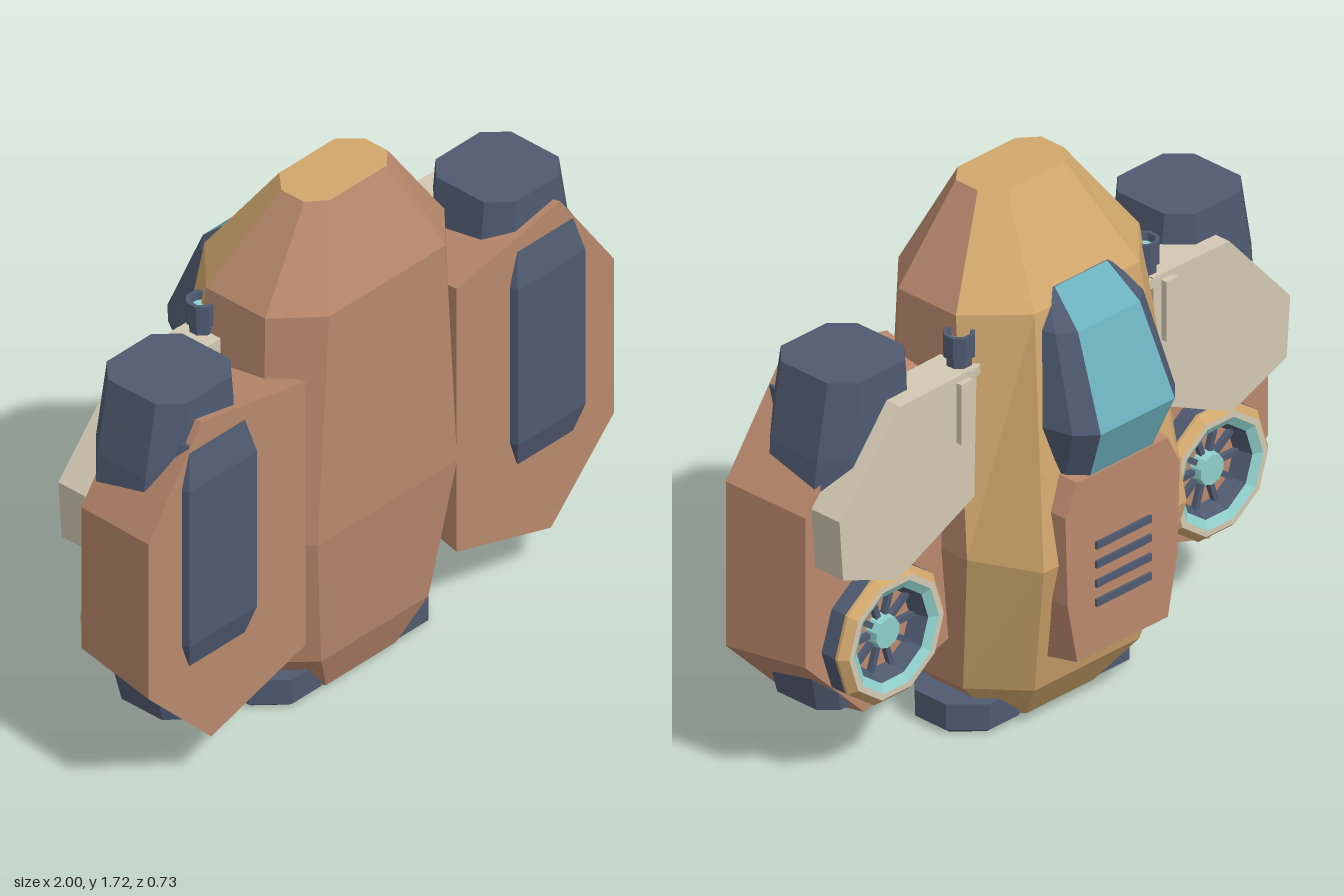
import * as THREE from 'three';

const mat = (name, color) => {
  const m = new THREE.MeshStandardMaterial({ color, flatShading: true });
  m.name = name;
  return m;
};

// Skin a closed solid over rings of equal point count; pick(side, row) gives a material index.
function loft(rings, pick = () => 0, capIndex = 0) {
  const n = rings[0].length;
  const tris = [];
  const add = (m, a, b, c) => tris.push({ m, p: [a, b, c] });
  for (let r = 0; r < rings.length - 1; r++) {
    for (let k = 0; k < n; k++) {
      const j = (k + 1) % n, A = rings[r], B = rings[r + 1], m = pick(k, r);
      add(m, A[k], A[j], B[j]);
      add(m, A[k], B[j], B[k]);
    }
  }
  const first = rings[0], last = rings[rings.length - 1];
  for (let k = 1; k < n - 1; k++) {
    add(capIndex, first[0], first[k + 1], first[k]);
    add(capIndex, last[0], last[k], last[k + 1]);
  }
  // Turn every face outward if the rings run the other way.
  const v = (a) => new THREE.Vector3(...a);
  const volume = tris.reduce((s, { p }) => s + v(p[0]).dot(v(p[1]).cross(v(p[2]))), 0);
  tris.sort((a, b) => a.m - b.m);
  const pos = [];
  const geo = new THREE.BufferGeometry();
  tris.forEach(({ m, p }, i) => {
    pos.push(...p[0], ...(volume < 0 ? [...p[2], ...p[1]] : [...p[1], ...p[2]]));
    const g = geo.groups[geo.groups.length - 1];
    if (g && g.materialIndex === m) g.count += 3;
    else geo.addGroup(i * 3, 3, m);
  });
  geo.setAttribute('position', new THREE.Float32BufferAttribute(pos, 3));
  geo.computeVertexNormals();
  return geo;
}

// Chamfered rectangle lying at height y.
const octagon = (cx, cz, hx, hz, y, cut) => [
  [hx, hz - cut], [hx, cut - hz], [hx - cut, -hz], [cut - hx, -hz],
  [-hx, cut - hz], [-hx, hz - cut], [cut - hx, hz], [hx - cut, hz],
].map(([x, z]) => [cx + x, y, cz + z]);

export function createModel() {
  const brown = mat('copper brown', 0xb9886c);
  const gold = mat('ochre', 0xd0a76c);
  const dark = mat('slate blue', 0x4f5a70);
  const glass = mat('teal glass', 0x6ab0bc);
  const aqua = mat('pale aqua', 0x8fcfca);
  const beige = mat('warm grey', 0xd2c8b2);

  const model = new THREE.Group();
  const put = (name, geo, material, parent = model) => {
    const mesh = new THREE.Mesh(geo, material);
    mesh.name = name;
    parent.add(mesh);
    return mesh;
  };
  const lathe = (points, sides) =>
    new THREE.LatheGeometry(points.map(([x, y]) => new THREE.Vector2(x, y)), sides, Math.PI / sides);

  // Hull: y, front half width, half width, back half width, then z from front to back
  const hullRings = [
    [0.01, 0.15, 0.21, 0.14, 0.26, 0.17, 0.03, -0.05],
    [0.16, 0.23, 0.355, 0.22, 0.315, 0.185, 0, -0.16],
    [0.63, 0.3, 0.4, 0.3, 0.365, 0.24, -0.06, -0.275],
    [1.42, 0.25, 0.385, 0.22, 0.365, 0.235, 0, -0.16],
    [1.715, 0.12, 0.18, 0.12, 0.25, 0.2, 0.11, 0.045],
  ].map(([y, a, w, b, zf, z1, z2, zb]) => {
    const half = [[a, y, zf], [w, y, z1], [w, y, z2], [b, y, zb]];
    return [...half, ...half.map(([x, h, z]) => [-x, h, z]).reverse()];
  });
  put('hull', loft(hullRings, (k) => (k >= 2 && k <= 4 ? 1 : 0), 1), [brown, gold]);

  // Canopy: y, then half width and z of the glass edge, the bevel and the base
  const canopyRings = [
    [0.9, 0.13, -0.3, 0.18, -0.25, 0.2, -0.19],
    [1.07, 0.155, -0.367, 0.215, -0.31, 0.25, -0.17],
    [1.36, 0.13, -0.25, 0.185, -0.21, 0.21, -0.13],
    [1.46, 0.11, -0.135, 0.13, -0.125, 0.14, -0.09],
  ].map(([y, a, za, b, zb, c, zc]) => {
    const half = [[c, y, zc], [b, y, zb], [a, y, za]];
    return [...half, ...half.map(([x, h, z]) => [-x, h, z]).reverse()];
  });
  put('canopy', loft(canopyRings, (k) => (k === 2 ? 1 : 0)), [dark, glass]);

  // Rear engine cover with vents
  const coverOutline = [[0.19, 0.9], [0.24, 0.8], [0.23, 0.5], [0.19, 0.3],
    [-0.19, 0.3], [-0.23, 0.5], [-0.24, 0.8], [-0.19, 0.9]];
  put('engineCover', loft([
    coverOutline.map(([x, y]) => [x * 1.04, y < 0.4 ? 0.27 : y + 0.01, -0.15]),
    coverOutline.map(([x, y]) => [x, y, -0.305]),
  ]), brown);
  for (let i = 0; i < 4; i++) {
    put('vent', new THREE.BoxGeometry(0.23, 0.024, 0.009), dark).position.set(0, 0.47 + i * 0.064, -0.309);
  }

  for (const s of [1, -1]) {
    const side = new THREE.Group();
    side.name = s > 0 ? 'leftSide' : 'rightSide';
    model.add(side);

    // Side shield, narrowing toward the back
    const outline = [[0.325, 0.28], [0.325, 1.215], [0.77, 1.3], [1, 0.98], [1, 0.43], [0.73, 0.16]];
    put('sideShield', loft([
      outline.map(([x, y]) => [s * x, y, 0.34]),
      outline.map(([x, y]) => [s * (0.66 + (x - 0.66) * 0.91), 0.73 + (y - 0.73) * 0.91, 0.045]),
    ]), brown, side);

    // Long pad on the front of the shield
    put('frontPad', loft([
      [0.44, 0.13, 0.335], [0.55, 0.16, 0.366], [1.1, 0.16, 0.366], [1.235, 0.13, 0.335],
    ].map(([y, w, z]) => [[w + 0.005, 0.28], [w - 0.015, z], [-w + 0.015, z], [-w - 0.005, 0.28]]
      .map(([x, zz]) => [s * (0.705 + x), y, zz]))), dark, side);

    // Tank: upper body and the tip showing below the shield
    put('tank', loft([
      octagon(s * 0.717, 0.15, 0.205, 0.172, 1.0, 0.08),
      octagon(s * 0.716, 0.15, 0.195, 0.17, 1.12, 0.075),
      octagon(s * 0.706, 0.15, 0.16, 0.16, 1.365, 0.065),
    ]), dark, side);
    put('tankTip', loft([
      octagon(s * 0.706, 0.185, 0.155, 0.13, 0.25, 0.05),
      octagon(s * 0.712, 0.185, 0.185, 0.14, 0.4, 0.05),
    ]), dark, side);

    // Rear wing plate and its bracket
    const wing = [[0.37, 1.27], [0.69, 1.265], [0.945, 0.98], [0.93, 0.78], [0.7, 0.69], [0.38, 0.84]];
    put('wingPlate', loft([0.06, -0.07].map((z) => wing.map(([x, y]) => [s * x, y, z]))), beige, side);
    put('bracket', new THREE.BoxGeometry(0.05, 0.2, 0.06), beige, side).position.set(s * 0.43, 1.15, -0.06);

    // Small upright tube
    const tube = new THREE.Group();
    tube.name = 'tube';
    tube.position.set(s * 0.387, 1.25, -0.015);
    side.add(tube);
    put('tubeBase', new THREE.CylinderGeometry(0.062, 0.062, 0.03, 8), beige, tube);
    put('tubeWall', lathe([[0.04, 0], [0.04, 0.045], [0.05, 0.05], [0.05, 0.125], [0.036, 0.125], [0.032, 0.09]], 8), dark, tube);
    put('tubeCore', new THREE.CylinderGeometry(0.034, 0.034, 0.1, 8), aqua, tube).position.y = 0.05;

    // Round thruster facing the back
    const thruster = new THREE.Group();
    thruster.name = 'thruster';
    thruster.position.set(s * 0.68, 0.48, 0.07);
    thruster.rotation.x = -Math.PI / 2;
    side.add(thruster);
    put('barrel', lathe([[0, 0], [0.2, 0], [0.222, 0.025], [0.222, 0.08]], 10), dark, thruster);
    put('rim', lathe([[0.222, 0.08], [0.222, 0.09], [0.198, 0.115]], 10), gold, thruster);
    put('face', lathe([[0.198, 0.115], [0.178, 0.115]], 10), beige, thruster);
    put('innerRing', lathe([[0.178, 0.115], [0.15, 0.098]], 10), aqua, thruster);
    put('innerWall', lathe([[0.15, 0.098], [0.13, 0.04]], 10), dark, thruster);
    put('fanDisc', lathe([[0.14, 0.04], [0, 0.04]], 10), brown, thruster);
    put('hub', new THREE.CylinderGeometry(0.05, 0.055, 0.04, 10), aqua, thruster).position.y = 0.06;
    for (let i = 0; i < 10; i++) {
      const a = (i * Math.PI) / 5;
      const blade = put('blade', new THREE.BoxGeometry(0.09, 0.02, 0.018), dark, thruster);
      blade.position.set(Math.cos(a) * 0.09, 0.048, Math.sin(a) * 0.09);
      blade.rotation.y = -a;
    }

    // Foot jet facing down
    const foot = new THREE.Group();
    foot.name = 'footJet';
    foot.position.set(s * 0.23, 0.1, 0.105);
    foot.rotation.x = Math.PI;
    side.add(foot);
    put('footBody', lathe([[0, 0], [0.165, 0], [0.165, 0.085], [0.145, 0.1]], 8), dark, foot);
    put('footRing', lathe([[0.145, 0.1], [0.115, 0.1], [0.105, 0.085]], 8), glass, foot);
    put('footWall', lathe([[0.105, 0.085], [0.09, 0.05]], 8), dark, foot);
    put('footCore', lathe([[0.095, 0.06], [0, 0.06]], 8), gold, foot);
  }
  return model;
}
